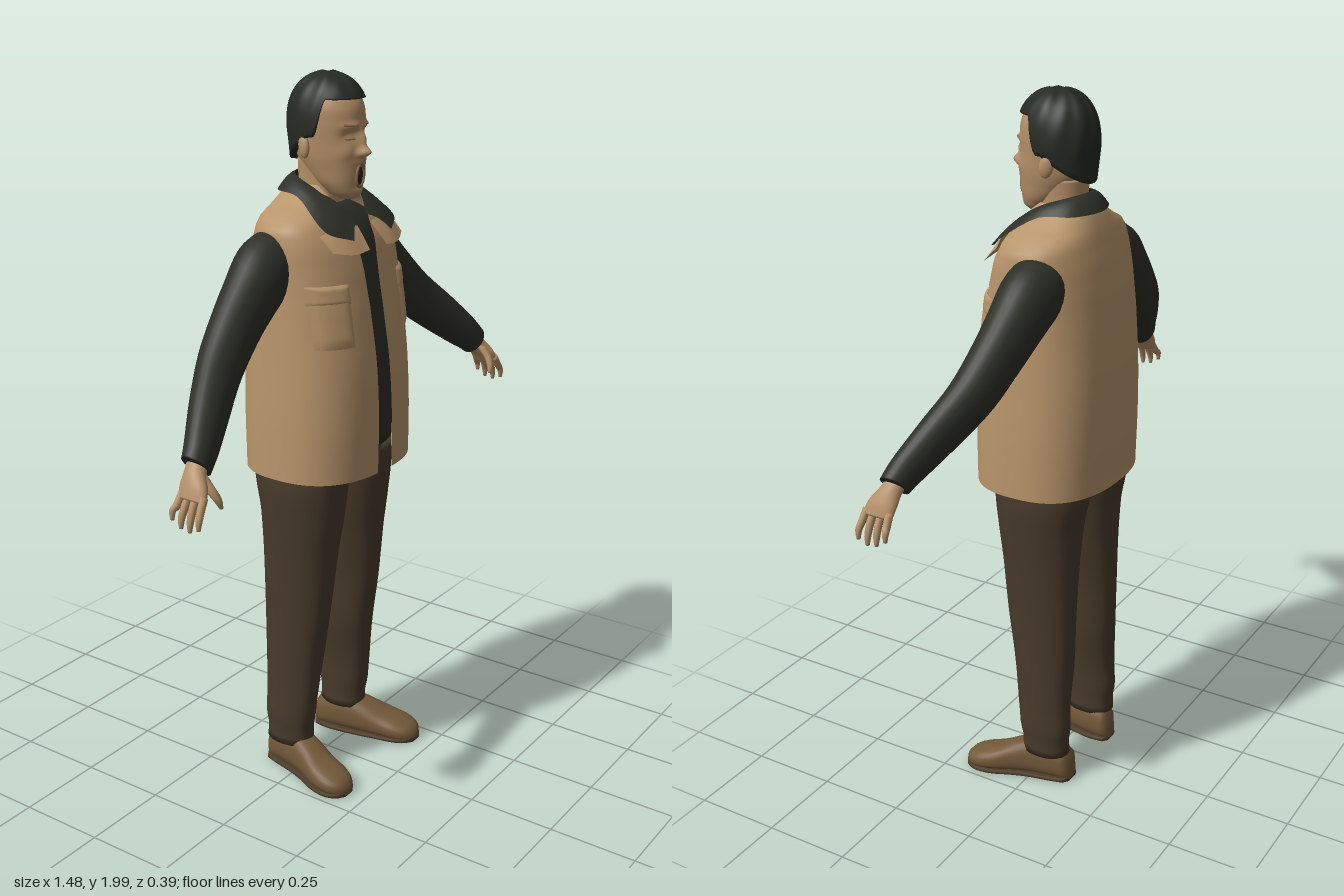
import * as THREE from 'three';

const V = (x, y, z) => new THREE.Vector3(x, y, z);
const mat = (name, color, side = THREE.FrontSide) => {
  const m = new THREE.MeshStandardMaterial({ color, side });
  m.name = name;
  return m;
};

// Smooth lookup in a table of rows keyed by the first column
function at(rows, k) {
  let i = 0;
  while (i < rows.length - 2 && k > rows[i + 1][0]) i++;
  const r = j => rows[Math.min(Math.max(j, 0), rows.length - 1)];
  const t = (k - r(i)[0]) / (r(i + 1)[0] - r(i)[0]);
  return r(i).map((b, c) => {
    if (c === 0) return k;
    const a = r(i - 1)[c], d = r(i + 1)[c], e = r(i + 2)[c];
    return b + 0.5 * t * (d - a + t * (2 * a - 5 * b + 4 * d - e + t * (3 * (b - d) + e - a)));
  });
}
const steps = (rows, n) => Array.from({ length: n + 1 }, (_, i) =>
  at(rows, THREE.MathUtils.lerp(rows[0][0], rows[rows.length - 1][0], i / n)));

// Skin a list of point rings; closed rings can be capped
function loft(rings, closed = true, caps = closed) {
  const n = rings[0].length, pos = rings.flat().flatMap(p => [p.x, p.y, p.z]), idx = [];
  for (let i = 0; i < rings.length - 1; i++) for (let j = 0; j < (closed ? n : n - 1); j++) {
    const a = i * n + j, b = i * n + (j + 1) % n;
    idx.push(a, a + n, b, b, a + n, b + n);
  }
  if (caps) [0, rings.length - 1].forEach(r => {
    const c = rings[r].reduce((s, p) => s.add(p), V(0, 0, 0)).divideScalar(n), k = pos.length / 3;
    pos.push(c.x, c.y, c.z);
    for (let j = 0; j < n; j++) {
      const a = r * n + j, b = r * n + (j + 1) % n;
      idx.push(k, ...(r ? [b, a] : [a, b]));
    }
  });
  const g = new THREE.BufferGeometry();
  g.setAttribute('position', new THREE.Float32BufferAttribute(pos, 3));
  g.setIndex(idx);
  g.computeVertexNormals();
  return g;
}
const pw = (c, n) => Math.sign(c) * Math.abs(c) ** (2 / n);
const ring = (c, u, v, seg = 32, n = 2, a0 = 0, a1 = 2 * Math.PI, open = false) =>
  Array.from({ length: seg + (open ? 1 : 0) }, (_, i) => {
    const a = a0 + (a1 - a0) * i / seg;
    return c.clone().addScaledVector(u, pw(Math.cos(a), n)).addScaledVector(v, pw(Math.sin(a), n));
  });

// Horizontal sections: [y, centre x, half width, front z, back z]
const column = (rows, n = 24, p = 2.2) => loft(steps(rows, n).map(([y, cx, w, f, b]) =>
  ring(V(cx, y, (f + b) / 2), V(w, 0, 0), V(0, 0, (f - b) / 2), 36, p)));

// Sections along a limb: [x, y, z, radius across, radius in z]
function limb(table, n = 16, seg = 20) {
  const rows = steps(table.map((r, i) => [i, ...r]), n);
  return loft(rows.map(([, x, y, z, ru, rv], i) => {
    const p = rows[Math.max(i - 1, 0)], q = rows[Math.min(i + 1, n)];
    const d = V(q[1] - p[1], q[2] - p[2], 0).normalize();
    return ring(V(x, y, z), V(d.y * ru, -d.x * ru, 0), V(0, 0, rv), seg);
  }));
}
function mirror(g) {
  const m = g.clone().scale(-1, 1, 1), ix = m.index.array;
  for (let i = 0; i < ix.length; i += 3) [ix[i], ix[i + 1]] = [ix[i + 1], ix[i]];
  m.computeVertexNormals();
  return m;
}

// Vest sections: [y, half width, front z, back z, right edge x, left edge x]
const VEST = [
  [0.94, 0.241, 0.196, -0.19, -0.04, 0.026], [1.1, 0.238, 0.197, -0.195, -0.04, 0.022],
  [1.25, 0.231, 0.19, -0.195, -0.042, 0.016], [1.4, 0.225, 0.17, -0.185, -0.045, 0.012],
  [1.5, 0.223, 0.15, -0.172, -0.047, 0.016], [1.57, 0.222, 0.13, -0.157, -0.05, 0.03],
  [1.615, 0.215, 0.105, -0.142, -0.055, 0.04], [1.635, 0.195, 0.092, -0.135, -0.058, 0.05],
  [1.66, 0.14, 0.075, -0.125, -0.062, 0.058], [1.69, 0.1, 0.055, -0.11, -0.065, 0.063],
  [1.71, 0.074, 0.045, -0.095, -0.066, 0.066]];
const VP = 2.5;
function vest() {
  const angle = (e, w) => Math.acos(Math.sign(e) * Math.min(Math.abs(e) / w, 1) ** (VP / 2));
  return loft(steps(VEST, 40).map(([y, w, f, b, r, l]) => ring(V(0, y, (f + b) / 2), V(w, 0, 0),
    V(0, 0, (f - b) / 2), 72, VP, angle(r, w), 2 * Math.PI + angle(l, w), true)), false);
}
const onVest = (x, y) => {
  const [, w, f, b] = at(VEST, y);
  return (f + b) / 2 + (f - b) / 2 * (1 - Math.min(Math.abs(x) / w, 1) ** VP) ** (1 / VP);
};
// Thin raised panel lying on a surface
function patch(surface, x0, x1, y0, y1, lift, slope = 0) {
  const n = 10, edge = t => Math.min(1, 8 * Math.min(t, 1 - t));
  return loft(Array.from({ length: n + 1 }, (_, i) => Array.from({ length: n + 1 }, (_, j) => {
    const x = THREE.MathUtils.lerp(x1, x0, j / n);
    const y = THREE.MathUtils.lerp(y0, y1, i / n) + slope * (x - x0);
    return V(x, y, surface(x, y) + 0.001 + lift * Math.min(edge(i / n), edge(j / n)));
  })), false);
}
// Cloth band between two curves
function band(inner, outer, bulge, n = 40) {
  const [a, b] = [inner, outer].map(l => new THREE.CatmullRomCurve3(l.map(p => V(...p))).getPoints(n));
  return loft([0, 0.25, 0.5, 0.75, 1].map(t => a.map((p, i) => {
    const q = p.clone().lerp(b[i], t);
    q.y += bulge * Math.sin(Math.PI * t);
    return q;
  })), false);
}
const bothSides = pts => [...pts].reverse().concat(pts.slice(1).map(([x, y, z]) => [-x, y, z]));

// Head sections: [y, half width, front z, back z]
const HEAD = [
  [1.672, 0.02, 0.085, 0.04], [1.685, 0.042, 0.097, 0.01], [1.715, 0.06, 0.103, -0.03],
  [1.75, 0.07, 0.107, -0.065], [1.78, 0.077, 0.108, -0.085], [1.82, 0.081, 0.106, -0.095],
  [1.87, 0.084, 0.105, -0.1], [1.91, 0.082, 0.1, -0.1], [1.95, 0.066, 0.078, -0.082],
  [1.972, 0.035, 0.045, -0.05]];
// Face relief: [x, y, height, spread x, spread y]
const RELIEF = [
  [0, 1.797, 0.027, 0.013, 0.014], [0, 1.828, 0.016, 0.011, 0.022], [0.014, 1.792, 0.009, 0.009, 0.009],
  [0.033, 1.838, -0.012, 0.017, 0.014], [0.033, 1.835, 0.006, 0.011, 0.008], [0.03, 1.863, 0.006, 0.025, 0.009],
  [0.048, 1.795, 0.005, 0.018, 0.018], [0, 1.772, 0.007, 0.02, 0.008], [0, 1.735, -0.012, 0.013, 0.022],
  [0, 1.692, 0.006, 0.02, 0.012]];
const relief = (x, y) => RELIEF.reduce((s, [bx, by, h, sx, sy]) =>
  s + h * Math.exp(-(((Math.abs(x) - bx) / sx) ** 2) - ((y - by) / sy) ** 2), 0);
const onHead = (x, y) => {
  const [, w, f, b] = at(HEAD, y);
  return (f + b) / 2 + (f - b) / 2 * Math.sqrt(Math.max(0, 1 - (x / w) ** 2)) + relief(x, y);
};
function head() {
  return loft(steps(HEAD, 60).map(([y, w, f, b]) => ring(V(0, y, (f + b) / 2), V(w, 0, 0),
    V(0, 0, (f - b) / 2), 80).map(p => { if (p.z > 0.02) p.z += relief(p.x, y); return p; })));
}
// Hair cap with a hairline that drops from the forehead to the nape
function hair() {
  const seg = 96, n = 22, rings = [];
  for (let i = -1; i <= n; i++) rings.push(Array.from({ length: seg }, (_, j) => {
    const a = j / seg * 2 * Math.PI, f = Math.sin(a), t = Math.sin(Math.max(i, 0) / n * Math.PI / 2);
    const line = 1.835 + 0.095 * THREE.MathUtils.smoothstep(f, 0.12, 0.45) + 0.075 * Math.min(0, f);
    const y = THREE.MathUtils.lerp(line, 1.992, t);
    let s = y > 1.85 ? Math.sqrt(Math.max(0, 1 - ((y - 1.85) / 0.145) ** 2.6)) : 1 - 0.9 * (1.85 - y);
    s *= 1 + 0.025 * Math.sin(11 * a + 30 * y) * t;
    if (i < 0) s *= 0.85;
    return V(0.096 * s * Math.cos(a), y + 0.006 * t * Math.sin(5 * a + 1) * s, (f > 0 ? 0.117 : 0.112) * s * f);
  }));
  return loft(rings);
}
// Shoe sections: [z, centre x, half width, height]
const SHOE = [
  [-0.116, 0.12, 0.02, 0.05], [-0.105, 0.121, 0.036, 0.09], [-0.06, 0.125, 0.045, 0.115], [0, 0.136, 0.048, 0.118],
  [0.05, 0.15, 0.052, 0.1], [0.1, 0.167, 0.057, 0.076], [0.15, 0.177, 0.055, 0.06], [0.185, 0.18, 0.04, 0.046],
  [0.199, 0.18, 0.018, 0.03]];
const shoe = (grow, height) => loft(steps(SHOE, 28).map(([z, cx, w, h]) => {
  const top = height || h;
  return ring(V(cx, top / 2, z), V(w + grow, 0, 0), V(0, -top / 2, 0), 28, height ? 5 : 2.5);
}));

export function createModel() {
  const model = new THREE.Group();
  const tan = mat('vest tan', 0xb8956b, THREE.DoubleSide), skin = mat('skin', 0xb48f68);
  const dark = mat('shirt charcoal', 0x2d2f27, THREE.DoubleSide), black = mat('hair black', 0x262a23);
  const brown = mat('trouser brown', 0x483a2b), leather = mat('shoe leather', 0x745a3b);
  const soleMat = mat('sole brown', 0x4c3c29), mouthMat = mat('mouth dark', 0x33211a);
  const shade = mat('brow and lid brown', 0x8a6a4a);
  const add = (name, g, m) => {
    const mesh = new THREE.Mesh(g, m);
    mesh.name = name;
    model.add(mesh);
  };
  const pair = (name, g, m) => { add(name + 'Left', g, m); add(name + 'Right', mirror(g), m); };

  // Trousers and shoes
  add('trouserSeat', column([[0.87, 0, 0.16, 0.07, -0.1], [0.9, 0, 0.205, 0.118, -0.142],
    [0.96, 0, 0.213, 0.13, -0.155], [1.03, 0, 0.205, 0.15, -0.155]]), brown);
  pair('trouserLeg', column([[0.09, 0.135, 0.053, 0.036, -0.108], [0.13, 0.135, 0.051, 0.034, -0.106],
    [0.17, 0.136, 0.054, 0.042, -0.112], [0.25, 0.133, 0.055, 0.05, -0.11], [0.385, 0.123, 0.066, 0.064, -0.115],
    [0.54, 0.12, 0.072, 0.085, -0.118], [0.7, 0.114, 0.086, 0.1, -0.122], [0.82, 0.109, 0.1, 0.115, -0.13],
    [0.9, 0.108, 0.106, 0.123, -0.145], [0.97, 0.106, 0.104, 0.125, -0.15]], 40), brown);
  pair('shoe', shoe(0, 0), leather);
  pair('sole', shoe(0.003, 0.014), soleMat);

  // Shirt and sleeves
  add('shirt', column([[1.0, 0, 0.19, 0.165, -0.165], [1.25, 0, 0.2, 0.168, -0.172], [1.4, 0, 0.2, 0.152, -0.165],
    [1.5, 0, 0.2, 0.132, -0.15], [1.57, 0, 0.19, 0.112, -0.135], [1.615, 0, 0.165, 0.088, -0.12],
    [1.645, 0, 0.1, 0.06, -0.1], [1.66, 0, 0.065, 0.042, -0.085]]), dark);
  pair('sleeve', limb([[0.15, 1.53, -0.045, 0.085, 0.075], [0.22, 1.505, -0.045, 0.093, 0.078],
    [0.29, 1.45, -0.04, 0.085, 0.07], [0.36, 1.39, -0.032, 0.078, 0.063], [0.45, 1.31, -0.013, 0.071, 0.057],
    [0.54, 1.235, 0.025, 0.064, 0.051], [0.61, 1.175, 0.058, 0.055, 0.044], [0.64, 1.149, 0.071, 0.049, 0.04],
    [0.66, 1.13, 0.078, 0.046, 0.037]], 36, 28), dark);

  // Vest, lapels and pockets
  add('vest', vest(), tan);
  add('collar', band(
    bothSides([[0, 1.735, -0.088], [0.055, 1.73, -0.065], [0.076, 1.708, 0], [0.058, 1.672, 0.065], [0.025, 1.63, 0.105]]),
    bothSides([[0, 1.69, -0.13], [0.092, 1.69, -0.095], [0.122, 1.685, -0.01], [0.155, 1.61, 0.105], [0.088, 1.583, 0.145]]),
    0.008), dark);
  pair('lapel', band([[0.03, 1.61, 0.115], [0.095, 1.62, 0.11], [0.165, 1.6, 0.09]],
    [[0.04, 1.553, 0.162], [0.1, 1.55, 0.156], [0.162, 1.562, 0.13]], 0.002, 16), tan);
  pair('chestPocket', patch(onVest, 0.115, 0.205, 1.31, 1.46, 0.007), tan);
  pair('pocketFlap', patch(onVest, 0.112, 0.208, 1.425, 1.475, 0.009), tan);

  // Hands
  pair('palm', limb([[0.64, 1.15, 0.074, 0.024, 0.028], [0.667, 1.122, 0.083, 0.023, 0.03],
    [0.69, 1.09, 0.095, 0.02, 0.041], [0.706, 1.06, 0.1, 0.015, 0.042]]), skin);
  for (let i = 0; i < 4; i++) {
    const z = 0.068 + i * 0.022, tip = 0.06 + i * 0.027, drop = [0.02, 0.004, 0, 0.01][i];
    pair('finger' + (i + 1), limb([[0.7, 1.075, z, 0.011, 0.011], [0.719, 1.045, (z + tip) / 2, 0.011, 0.01],
      [0.73, 1.015 + drop, tip, 0.009, 0.009], [0.732, 0.992 + drop, tip, 0.005, 0.005]], 9, 10), skin);
  }
  pair('thumb', limb([[0.668, 1.115, 0.1, 0.015, 0.014], [0.668, 1.085, 0.127, 0.013, 0.013],
    [0.66, 1.058, 0.143, 0.01, 0.01], [0.652, 1.035, 0.147, 0.005, 0.005]], 9, 10), skin);

  // Neck and head
  add('neck', column([[1.61, 0, 0.068, 0.05, -0.09], [1.66, 0, 0.062, 0.042, -0.082],
    [1.72, 0, 0.06, 0.045, -0.08], [1.77, 0, 0.062, 0.04, -0.08]]), skin);
  add('shirtNeckband', new THREE.TorusGeometry(0.066, 0.009, 10, 40).rotateX(Math.PI / 2)
    .rotateX(0.2).translate(0, 1.648, -0.018), dark);
  add('head', head(), skin);
  add('hair', hair(), black);
  pair('ear', new THREE.SphereGeometry(1, 18, 14).scale(0.011, 0.031, 0.019).rotateX(-0.15)
    .rotateY(0.3).translate(0.087, 1.81, -0.014), skin);
  pair('brow', patch(onHead, 0.016, 0.052, 1.862, 1.868, 0.002, 0.05), shade);
  pair('eyelid', patch(onHead, 0.02, 0.046, 1.828, 1.832, 0.001), shade);
  add('mouth', new THREE.SphereGeometry(1, 24, 16).scale(0.015, 0.027, 0.007).translate(0, 1.735, 0.099), mouthMat);
  add('lips', new THREE.TorusGeometry(1, 0.2, 10, 32).scale(0.017, 0.03, 0.026)
    .rotateX(0.08).translate(0, 1.735, 0.102), shade);
  return model;
}
